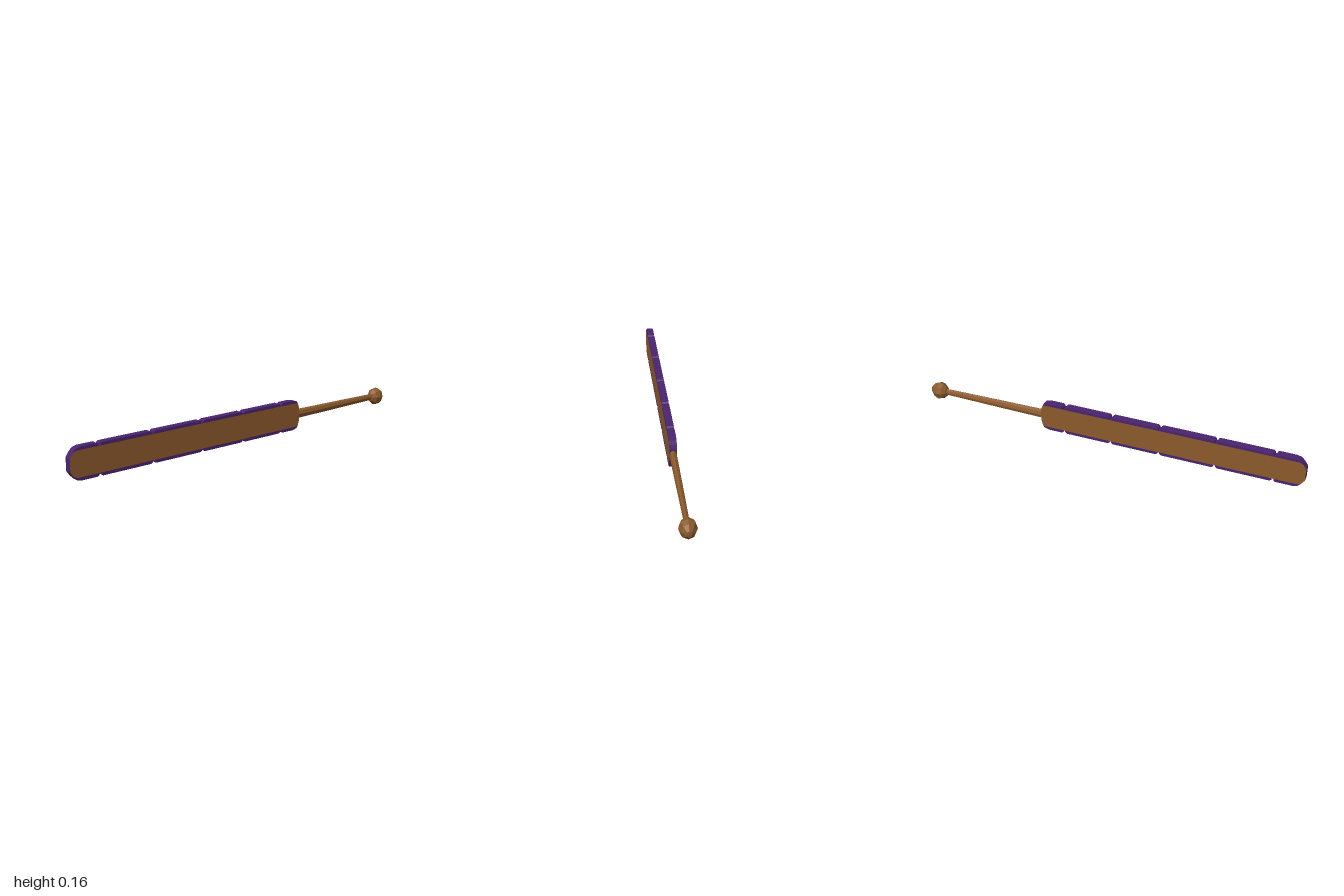
import * as THREE from 'three';

const MID = 0.08;      // height of the long axis
const DEPTH = 0.036;   // blade thickness

export function createModel() {
  const wood = new THREE.MeshStandardMaterial({ color: 0x8b5a2b });
  wood.name = 'wood';
  const edge = new THREE.MeshStandardMaterial({ color: 0x4a2370 });
  edge.name = 'purple edge';
  wood.flatShading = edge.flatShading = true;

  const group = new THREE.Group();
  group.name = 'paddle';

  const add = (name, geometry, material) => {
    const mesh = new THREE.Mesh(geometry, material);
    mesh.name = name;
    mesh.position.y = MID;
    group.add(mesh);
  };

  // Flat plate from an outline, centred on z = 0
  const plate = (points) => {
    const shape = new THREE.Shape(points.map(([x, y]) => new THREE.Vector2(x, y)));
    const geometry = new THREE.ExtrudeGeometry(shape, { depth: DEPTH, bevelEnabled: false });
    return geometry.translate(0, 0, -DEPTH / 2);
  };

  // Blade: wooden faces with a purple outer rim, mirrored about the long axis
  const upper = [[-1, 0.032], [-0.985, 0.054], [-0.965, 0.063],
    [0.338, 0.063], [0.351, 0.052], [0.358, 0.03]];
  const lower = upper.map(([x, y]) => [x, -y]).reverse();
  add('blade', plate([...upper, ...lower]), [wood, edge]);

  // Edge strips, separated by small notches
  const notches = [-0.848, -0.56, -0.274, -0.02, 0.231];
  const starts = [-0.985, ...notches];
  const ends = [...notches, 0.351];
  const top = 0.078, base = 0.0625, gap = 0.005, slope = 0.008;
  starts.forEach((start, i) => {
    const first = i === 0, last = i === starts.length - 1;
    const left = first
      ? [[-0.965, base], [-0.985, 0.054], [-0.968, 0.072], [-0.945, top]]
      : [[start + gap, base], [start + gap, 0.071], [start + gap + slope, top]];
    const right = last
      ? [[0.312, top], [0.342, 0.071], [0.351, 0.052], [0.338, base]]
      : [[ends[i] - gap - slope, top], [ends[i] - gap, 0.071], [ends[i] - gap, base]];
    const outline = [...left, ...right];
    add('upperEdge' + (i + 1), plate(outline), edge);
    add('lowerEdge' + (i + 1), plate(outline.map(([x, y]) => [x, -y]).reverse()), edge);
  });

  // Eight-sided turned parts along x; profile is [radius, x], flattened in z
  const turned = (profile, flatten) => {
    const points = profile.map(([r, x]) => new THREE.Vector2(r, x));
    return new THREE.LatheGeometry(points, 8).rotateZ(-Math.PI / 2).scale(1, 1, flatten);
  };

  // Tapered handle
  add('handle', turned([[0, 0.34], [0.025, 0.34], [0.022, 0.6], [0.017, 0.93]], 0.72), wood);

  // Faceted knob
  add('knob', turned([[0, 0.911], [0.024, 0.913], [0.042, 0.932], [0.048, 0.955],
    [0.038, 0.979], [0.016, 0.998], [0, 1]], 0.86), wood);

  return group;
}
